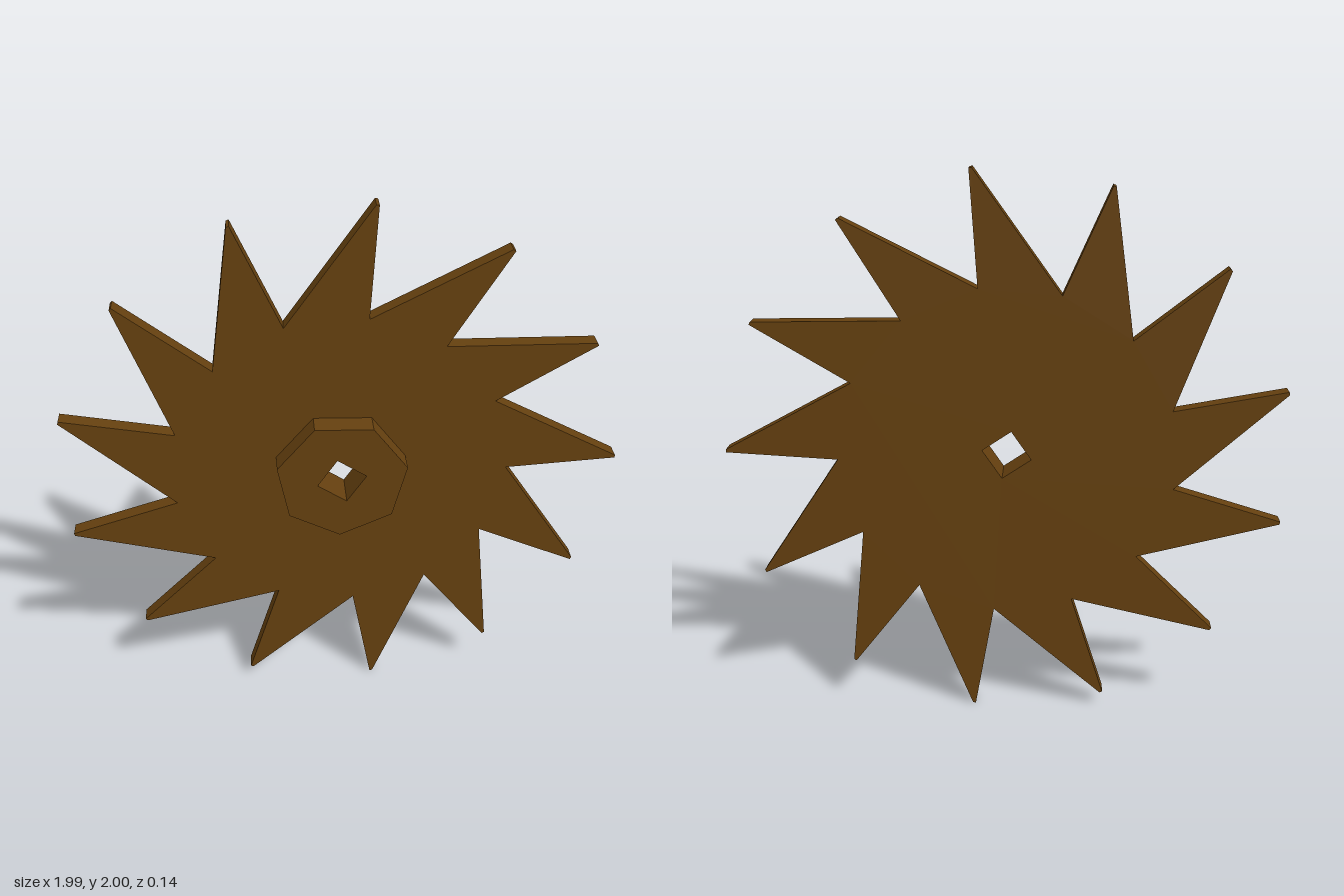
import * as THREE from 'three';

const DEG = Math.PI / 180;
const TEETH = 13;

// Point at a radius and an angle in degrees
const polar = (r, deg) => new THREE.Vector2(r * Math.cos(deg * DEG), r * Math.sin(deg * DEG));

// Corners of a regular polygon
const polygon = (sides, r, start) =>
  Array.from({ length: sides }, (_, i) => polar(r, start + (i * 360) / sides));

// Flat plate with the square axle hole, spanning zBack to zFront
function plate(name, outline, zBack, zFront, material) {
  const shape = new THREE.Shape(outline);
  shape.holes.push(new THREE.Path(polygon(4, 0.089, 10.6).reverse()));
  const geometry = new THREE.ExtrudeGeometry(shape, { depth: zFront - zBack, bevelEnabled: false });
  geometry.translate(0, 0, zBack);
  const mesh = new THREE.Mesh(geometry, material);
  mesh.name = name;
  return mesh;
}

export function createModel() {
  const group = new THREE.Group();
  group.name = 'toothedWheel';
  const material = new THREE.MeshStandardMaterial({ color: 0x65400f });

  // Slanted teeth with slightly blunted tips
  const outline = [];
  for (let i = 0; i < TEETH; i++) {
    const a = (i * 360) / TEETH;
    outline.push(polar(0.605, a - 2.5), polar(1.007, a - 0.3), polar(1.007, a + 0.3));
  }
  group.add(plate('toothedDisc', outline, -0.068, -0.012, material));

  // Seven-sided hub on the front
  group.add(plate('hub', polygon(7, 0.238, 10.8), -0.012, 0.068, material));

  // Wheel centre
  group.position.set(-0.015, 1, 0);
  const root = new THREE.Group();
  root.add(group);
  return root;
}
